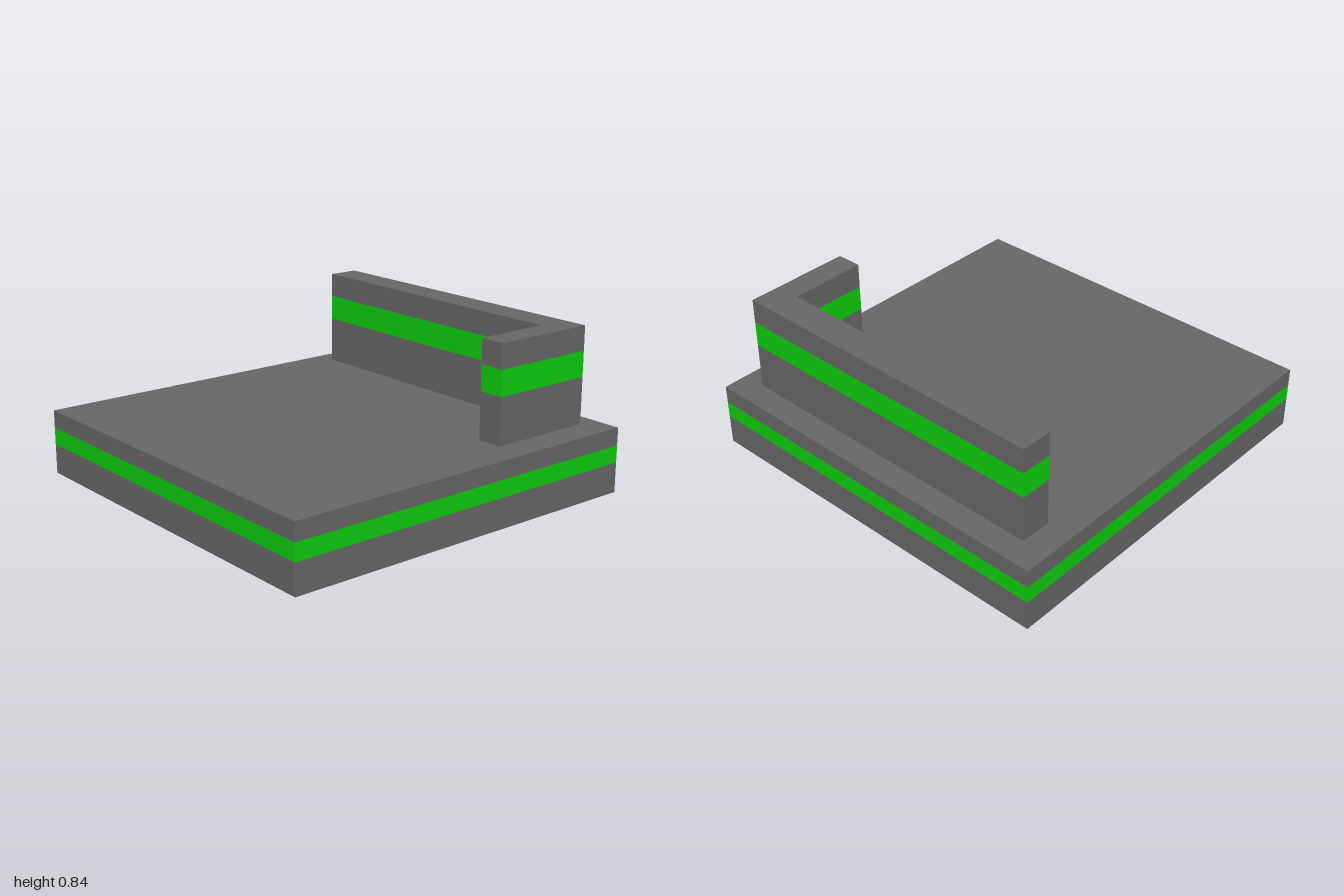
import * as THREE from 'three';
import { mergeGeometries } from 'three/addons/utils/BufferGeometryUtils.js';

const grey = new THREE.MeshStandardMaterial({ color: 0x666666 });
const green = new THREE.MeshStandardMaterial({ color: 0x0dcb0d });

// Upright faces along a closed [x, z] outline, between two heights
function sides(outline, y0, y1) {
  const faces = outline.map(([ax, az], i) => {
    const [bx, bz] = outline[(i + 1) % outline.length];
    const face = new THREE.PlaneGeometry(Math.hypot(bx - ax, bz - az), y1 - y0);
    face.rotateY(Math.atan2(az - bz, bx - ax));
    return face.translate((ax + bx) / 2, (y0 + y1) / 2, (az + bz) / 2);
  });
  return mergeGeometries(faces);
}

// Flat face filling the outline, facing up (1) or down (-1)
function cap(outline, y, facing) {
  const shape = new THREE.Shape(outline.map(([x, z]) => new THREE.Vector2(x, -facing * z)));
  return new THREE.ShapeGeometry(shape).rotateX(-facing * Math.PI / 2).translate(0, y, 0);
}

// Solid block with a coloured stripe running round it
function stripedBlock(name, outline, [bottom, stripeLow, stripeHigh, top]) {
  const group = new THREE.Group();
  group.name = name;
  const add = (part, geometry, material) => {
    const mesh = new THREE.Mesh(geometry, material);
    mesh.name = name + part;
    group.add(mesh);
  };
  add('Lower', mergeGeometries([cap(outline, bottom, -1), sides(outline, bottom, stripeLow)]), grey);
  add('Stripe', sides(outline, stripeLow, stripeHigh), green);
  add('Upper', mergeGeometries([sides(outline, stripeHigh, top), cap(outline, top, 1)]), grey);
  return group;
}

export function createModel() {
  const model = new THREE.Group();
  model.name = 'slabWithCornerWall';

  // Square base slab
  const square = [[-1, 1], [1, 1], [1, -1], [-1, -1]];
  model.add(stripedBlock('base', square, [0, 0.155, 0.243, 0.335]));

  // L-shaped wall with a short return at the front, just clear of the slab
  const ell = [[0.315, 0.863], [0.877, 0.863], [0.877, -0.865],
    [0.715, -0.865], [0.715, 0.73], [0.315, 0.73]];
  model.add(stripedBlock('wall', ell, [0.344, 0.585, 0.716, 0.842]));

  return model;
}
